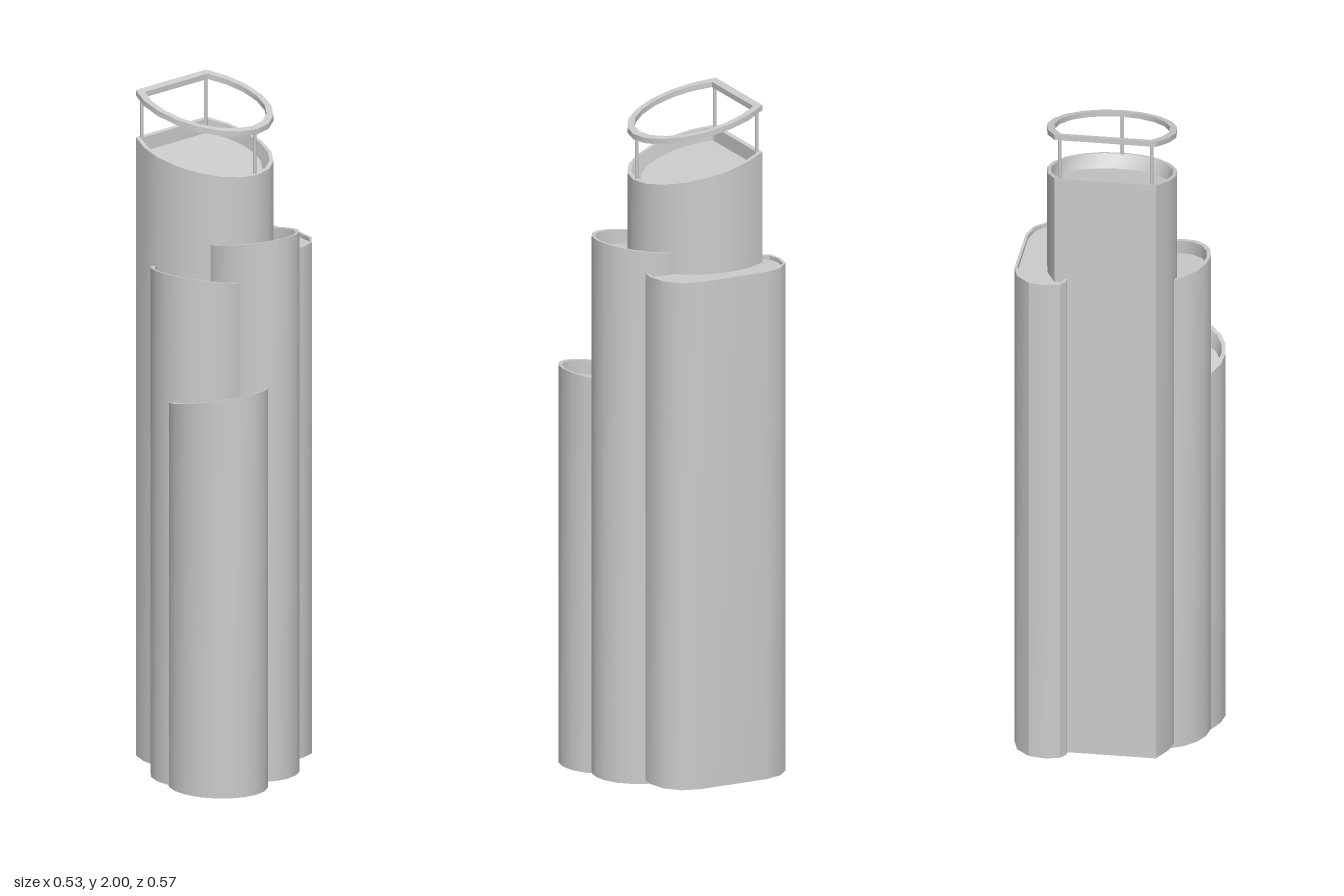
import * as THREE from 'three';
import { toCreasedNormals } from 'three/addons/utils/BufferGeometryUtils.js';

const material = new THREE.MeshStandardMaterial({ color: 0xcccccc, side: THREE.DoubleSide });

// Elliptical outline as [x, z] points; a half-angle below 180 leaves a flat chord on the -x side.
function ellipse(cx, cz, rx, rz, half = 180, segments = 20) {
  const points = [];
  const count = half === 180 ? segments : segments + 1;
  for (let i = 0; i < count; i++) {
    const t = THREE.MathUtils.degToRad(-half + (2 * half * i) / segments);
    points.push([cx + rx * Math.cos(t), cz + rz * Math.sin(t)]);
  }
  return points;
}

// Shrinks an outline by a margin; shift moves the result along x.
function inset(outline, margin, shift = 0) {
  const box = new THREE.Box2().setFromPoints(outline.map(([x, z]) => new THREE.Vector2(x, z)));
  const c = box.getCenter(new THREE.Vector2());
  const s = box.getSize(new THREE.Vector2());
  const kx = 1 - (2 * (margin + Math.abs(shift))) / s.x, kz = 1 - (2 * margin) / s.y;
  return outline.map(([x, z]) => [c.x + shift + (x - c.x) * kx, c.y + (z - c.y) * kz]);
}

// Places an outline on the (possibly sloped) height given by a function.
const section = (outline, height) => outline.map(([x, z]) => [x, height(x, z), z]);

// Skins a list of cross-sections, optionally capping the last or joining it to the first.
function loft(sections, { cap = false, closed = false } = {}) {
  const pos = [];
  const n = sections[0].length;
  const rows = closed ? [...sections, sections[0]] : sections;
  for (let r = 0; r < rows.length - 1; r++) {
    const a = rows[r], b = rows[r + 1];
    for (let i = 0; i < n; i++) {
      const j = (i + 1) % n;
      pos.push(...a[i], ...b[i], ...a[j], ...a[j], ...b[i], ...b[j]);
    }
  }
  if (cap) {
    const last = rows[rows.length - 1];
    for (let i = 1; i < n - 1; i++) pos.push(...last[0], ...last[i + 1], ...last[i]);
  }
  const geometry = new THREE.BufferGeometry();
  geometry.setAttribute('position', new THREE.Float32BufferAttribute(pos, 3));
  return toCreasedNormals(geometry, THREE.MathUtils.degToRad(32));
}

function add(group, name, geometry) {
  const mesh = new THREE.Mesh(geometry, material);
  mesh.name = name;
  group.add(mesh);
  return mesh;
}

// Hollow tower: open base, outer wall, rim, inner parapet and recessed roof.
function addTower(group, name, outline, base, top, { rim = 0.012, depth = 0.04, taper = 0.01 } = {}) {
  const inner = inset(outline, rim);
  const floor = taper ? inset(inner, 0.002, -taper) : inner;
  add(group, name, loft([
    section(outline, () => base),
    section(outline, top),
    section(inner, top),
    section(floor, (x, z) => top(x, z) - depth),
  ], { cap: true }));
}

export function createModel() {
  const group = new THREE.Group();
  group.name = 'towerCluster';

  // Tallest tower: D-shaped plan, roof falling towards +x
  const dShape = ellipse(-0.09, -0.015, 0.21, 0.187, 128.2, 14);
  const mainTop = (x) => 1.86 - 0.225 * (x + 0.22);
  addTower(group, 'mainTower', dShape, 0.02, mainTop, { taper: 0.015 });

  // Sloped ring carried above the tallest tower
  const ringTop = (x) => 2 - 0.235 * (x + 0.22);
  const ringUnder = (x) => ringTop(x) - 0.016;
  const ringInner = inset(dShape, 0.021);
  add(group, 'crownRing', loft([
    section(dShape, ringUnder), section(dShape, ringTop),
    section(ringInner, ringTop), section(ringInner, ringUnder),
  ], { closed: true }));

  // Thin posts below the ring
  for (const [x, z] of [[-0.209, 0.118], [-0.209, -0.148], [0.109, -0.015]]) {
    const low = mainTop(x) - 0.04, high = ringTop(x) - 0.008;
    const post = add(group, 'crownPost', new THREE.CylinderGeometry(0.005, 0.005, high - low, 8));
    post.position.set(x, (low + high) / 2, z);
  }

  // Round towers stepping down around the main one
  addTower(group, 'sideTower', ellipse(0.09, -0.015, 0.15, 0.134), 0.01, (x) => 1.62 + 0.17 * (x - 0.24));
  addTower(group, 'frontTower', ellipse(0.015, 0.11, 0.145, 0.145), 0.005,
    (x, z) => 1.523 + 0.2 * (z - 0.255), { taper: 0 });
  addTower(group, 'cornerTower', ellipse(0.115, 0.145, 0.15, 0.137), 0, (x) => 1.193 + 0.21 * (x - 0.265));

  // Flat-topped back tower with rounded corners
  const backOutline = [
    [-0.2, -0.125], [-0.235, -0.125], [-0.258, -0.14], [-0.268, -0.18], [-0.26, -0.23], [-0.222, -0.27],
    [-0.17, -0.285], [0.04, -0.285], [0.095, -0.27], [0.133, -0.23], [0.147, -0.175], [0.143, -0.125],
  ];
  addTower(group, 'backTower', backOutline, 0.02, () => 1.54, { rim: 0.008, depth: 0.012, taper: 0 });

  return group;
}
